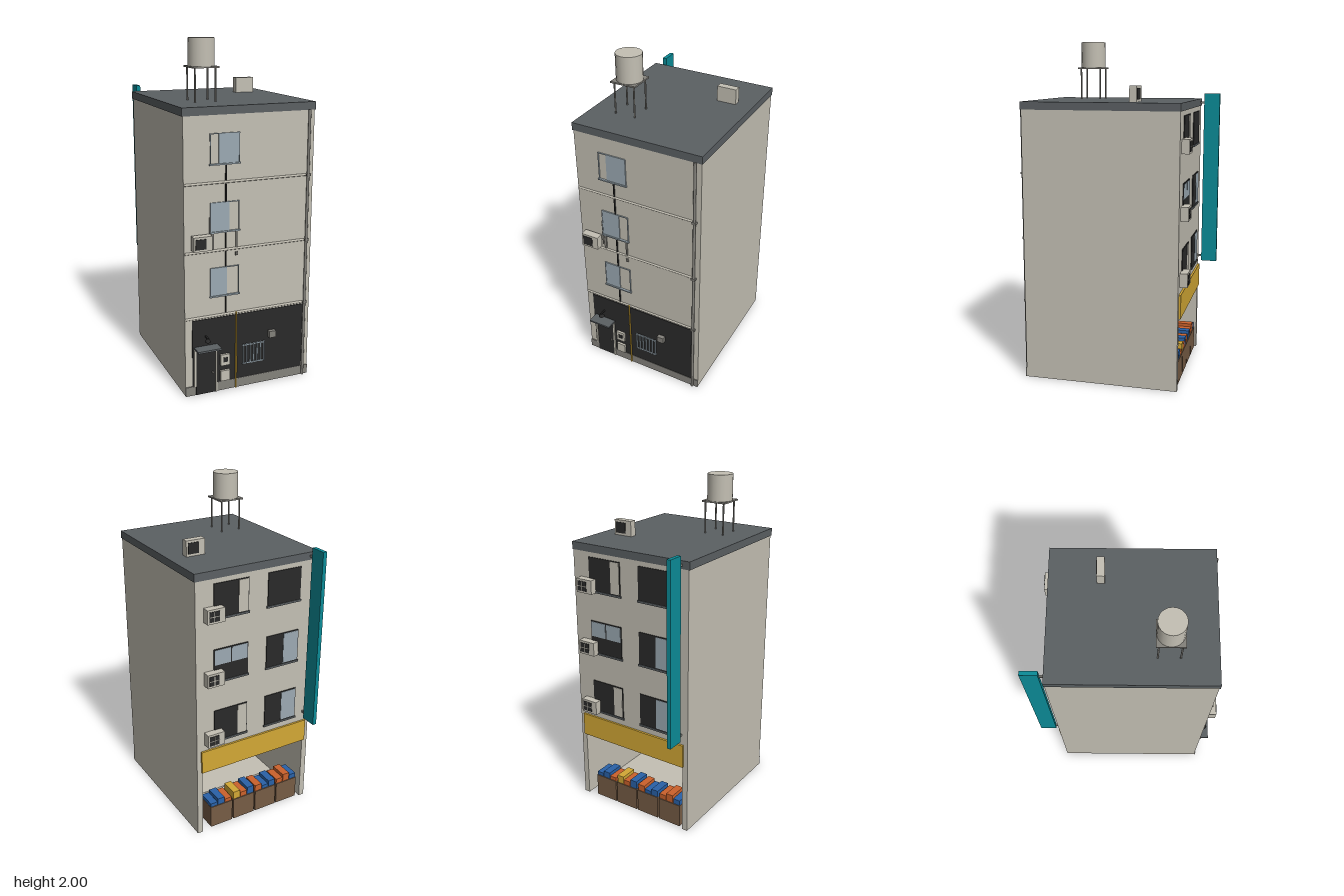
import * as THREE from 'three';

const mat = (name, color) => {
  const m = new THREE.MeshStandardMaterial({ color });
  m.name = name;
  return m;
};

export function createModel() {
  const root = new THREE.Group();
  root.name = 'apartmentBuilding';
  const wall = mat('beige', 0xc4c0b4), slate = mat('slate', 0x5b6063), dark = mat('charcoal', 0x2a2a2a),
    teal = mat('teal', 0x0b8c98), yellow = mat('yellow', 0xd3a835), glass = mat('glassBlue', 0x9caab3),
    grey = mat('grey', 0x84827c), brown = mat('brown', 0x765c45), blue = mat('blue', 0x2a62a8),
    orange = mat('orange', 0xcc622c);

  const add = (name, geo, m, x, y, z, parent = root) => {
    const mesh = new THREE.Mesh(geo, m);
    mesh.name = name;
    mesh.position.set(x, y, z);
    parent.add(mesh);
    return mesh;
  };
  // box given by its minimum and maximum on each axis
  const box = (name, m, x0, x1, y0, y1, z0, z1, parent) =>
    add(name, new THREE.BoxGeometry(x1 - x0, y1 - y0, z1 - z0), m,
      (x0 + x1) / 2, (y0 + y1) / 2, (z0 + z1) / 2, parent);
  const rod = (name, m, r, x, z, y0, y1, parent) =>
    add(name, new THREE.CylinderGeometry(r, r, y1 - y0, 10), m, x, (y0 + y1) / 2, z, parent);
  const group = (name) => {
    const g = new THREE.Group();
    g.name = name;
    root.add(g);
    return g;
  };

  // Main body with a deep shop open at the back; the floor slab starts behind the crates
  const F = 0.485, B = -0.435, slabZ = -0.11;
  box('upperFloors', wall, -0.392, 0.392, 0.43, 1.61, B, F);
  box('frontWall', wall, -0.357, 0.357, 0, 0.43, 0.45, F);
  box('shopFloor', wall, -0.357, 0.357, 0, 0.01, slabZ, 0.45);
  box('leftWall', wall, 0.357, 0.392, 0, 0.43, B, F);
  box('rightWall', wall, -0.392, -0.357, 0, 0.43, B, F);
  for (const z of [-0.19, -0.14]) box('shopCeilingStrip', dark, -0.35, 0.35, 0.425, 0.43, z, z + 0.006);
  box('roofSlab', slate, -0.398, 0.396, 1.608, 1.653, B - 0.003, F + 0.004);

  // Front facade: plinth, dark ground floor panel, floor bands, pipes
  box('plinth', grey, -0.392, 0.392, 0, 0.055, F, F + 0.006);
  box('groundPanel', dark, -0.35, 0.35, 0.055, 0.457, F, F + 0.004);
  for (const y of [0.47, 0.855, 1.24]) {
    rod('floorBand', wall, 0.007, 0, 0, -0.39, 0.345).rotation.z = Math.PI / 2;
    root.children.at(-1).position.set(-0.022, y, F);
    box('pipeClamp', grey, 0.344, 0.37, y - 0.006, y + 0.006, F, F + 0.018);
  }
  rod('downpipe', grey, 0.008, 0.357, F + 0.009, 0, 1.61);
  rod('gasPipe', yellow, 0.005, -0.082, F + 0.008, 0, 0.475);
  for (const [y0, y1] of [[0.48, 0.582], [0.757, 0.845], [0.865, 0.955], [1.13, 1.23], [1.25, 1.337]])
    box('cablePipe', dark, -0.15, -0.144, y0, y1, F, F + 0.009);

  // Front windows, each with one glazed part
  [[0.59, -0.24, -0.14], [0.965, -0.24, -0.125], [1.345, -0.19, -0.068]].forEach(([y, g0, g1]) => {
    const g = group('frontWindow');
    box('glassPane', glass, g0, g1, y, y + 0.165, F, F + 0.005, g);
    for (const x of [-0.24, -0.07]) box('frameSide', glass, x, x + 0.004, y, y + 0.165, F, F + 0.007, g);
    box('frameTop', glass, -0.24, -0.066, y + 0.161, y + 0.165, F, F + 0.007, g);
    box('sill', glass, -0.245, -0.062, y - 0.008, y, F, F + 0.012, g);
  });
  box('drainStub', grey, -0.232, -0.218, 0.865, 0.957, F, F + 0.008);
  box('drainStub', grey, -0.086, -0.077, 0.86, 0.957, F, F + 0.008);
  box('drainStub', grey, -0.088, -0.074, 0.815, 0.835, F, F + 0.008);
  rod('coolantPipe', grey, 0.003, -0.243, F + 0.004, 0.89, 1.05);

  // Entrance door with canopy and lamp
  const door = group('entrance');
  box('doorLeaf', dark, -0.33, -0.21, 0, 0.272, F, F + 0.008, door);
  box('frameLeft', wall, -0.342, -0.33, 0.055, 0.283, F, F + 0.012, door);
  box('frameRight', wall, -0.21, -0.2, 0, 0.283, F, F + 0.012, door);
  box('frameTop', wall, -0.342, -0.2, 0.272, 0.283, F, F + 0.012, door);
  box('canopy', slate, -0.34, -0.198, 0.286, 0.297, F, 0.558, door);
  box('doorKnob', grey, -0.232, -0.224, 0.12, 0.132, F, F + 0.016, door);
  box('lampArm', dark, -0.274, -0.266, 0.35, 0.358, F, 0.53, door);
  add('lampShade', new THREE.CylinderGeometry(0.008, 0.018, 0.02, 12), dark, -0.27, 0.345, 0.525, door);
  add('lampBulb', new THREE.SphereGeometry(0.01, 10, 8), wall, -0.27, 0.334, 0.525, door);

  // Meter boxes, barred window and vent box
  box('meterBox', wall, -0.18, -0.124, 0.158, 0.226, F, F + 0.018);
  box('meterScreen', dark, -0.166, -0.138, 0.18, 0.208, F + 0.018, F + 0.02);
  box('meterBox', wall, -0.18, -0.124, 0.062, 0.126, F, F + 0.018);
  box('ventBox', grey, 0.122, 0.165, 0.285, 0.325, F, F + 0.028);
  const grille = group('barredWindow');
  for (let i = 0; i < 7; i++) {
    const x = -0.036 + i * 0.0222;
    box('bar', glass, x - 0.0035, x + 0.0035, 0.14, 0.266, F + 0.004, F + 0.011, grille);
  }
  for (const y of [0.14, 0.255]) box('rail', glass, -0.041, 0.1, y, y + 0.006, F + 0.003, F + 0.009, grille);

  // Air conditioner, fan side facing local +z
  const airCon = (x, y, z, turn, blades) => {
    const g = group('airConditioner');
    box('casing', wall, -0.054, 0.054, 0, 0.082, 0, 0.045, g);
    box('fanOpening', dark, -0.044, 0.018, 0.012, 0.07, 0.045, 0.048, g);
    if (blades) {
      box('fanBlade', wall, -0.015, -0.011, 0.012, 0.07, 0.048, 0.05, g);
      box('fanBlade', wall, -0.044, 0.018, 0.039, 0.043, 0.048, 0.05, g);
    }
    g.position.set(x, y, z);
    if (turn) g.rotation.y = Math.PI;
    return g;
  };
  airCon(-0.302, 0.877, 0.496, false, false);
  box('wallBracket', grey, -0.345, -0.26, 0.885, 0.945, F, 0.496);
  airCon(0.238, 1.653, -0.127, true, false).scale.set(1.08, 1.1, 0.95);
  for (const y of [0.611, 0.994, 1.373]) airCon(0.288, y, B, true, true);

  // Back windows with sills, glazing and curtains
  [0.622, 1.004, 1.385].forEach((y, i) => {
    for (const c of [-0.175, 0.17]) {
      const g = group('backWindow');
      box('opening', dark, c - 0.11, c + 0.11, y, y + 0.195, B - 0.005, B, g);
      box('sill', slate, c - 0.115, c + 0.115, y - 0.012, y, B - 0.009, B, g);
      if (c < 0 && i < 2) box('glassPane', glass, c - 0.105, c - 0.005, y + 0.005, y + 0.19, B - 0.007, B, g);
      if (c > 0 && i === 1)
        for (const s of [-0.105, 0.004]) box('glassPane', glass, c + s, c + s + 0.101, y + 0.1, y + 0.19, B - 0.007, B, g);
      if (c > 0 && i !== 1) box('curtain', wall, c - 0.105, c - 0.045, y + 0.005, y + 0.19, B - 0.007, B, g);
    }
  });

  // Blank shop sign boards
  box('shopSign', yellow, -0.365, 0.365, 0.43, 0.572, B - 0.012, B);
  box('verticalSign', teal, -0.36, -0.336, 0.603, 1.685, -0.56, -0.462);
  for (const y of [0.635, 1.63]) box('signBracket', grey, -0.353, -0.341, y - 0.006, y + 0.006, -0.465, B);

  // Crates with long packets of goods in the shop opening
  const goods = [blue, blue, orange, yellow, orange, blue, orange, blue, blue, orange, orange, blue];
  for (let i = 0; i < 4; i++) {
    const g = group('crate'), x = 0.22 - i * 0.159;
    box('crateBody', brown, x - 0.075, x + 0.075, 0.003, 0.145, -0.425, -0.305, g);
    for (let k = 0; k < 3; k++) {
      const px = x + 0.05 - k * 0.05, h = 0.168 + ((i * 3 + k * 2) % 4) * 0.009;
      box('packet', goods[i * 3 + k], px - 0.023, px + 0.023, 0.145, h, -0.42, -0.31, g);
    }
  }

  // Water tank on its stand
  const tank = group('waterTank'), tx = -0.184, tz = 0.22;
  add('tankBody', new THREE.CylinderGeometry(0.075, 0.075, 0.153, 20), wall, tx, 1.9235, tz, tank);
  box('platform', grey, tx - 0.077, tx + 0.077, 1.838, 1.847, tz - 0.077, tz + 0.077, tank);
  for (const sx of [-1, 1]) for (const sz of [-1, 1])
    rod('tankLeg', grey, 0.005, tx + sx * 0.061, tz + sz * 0.061, 1.653, 1.84, tank);

  return root;
}
